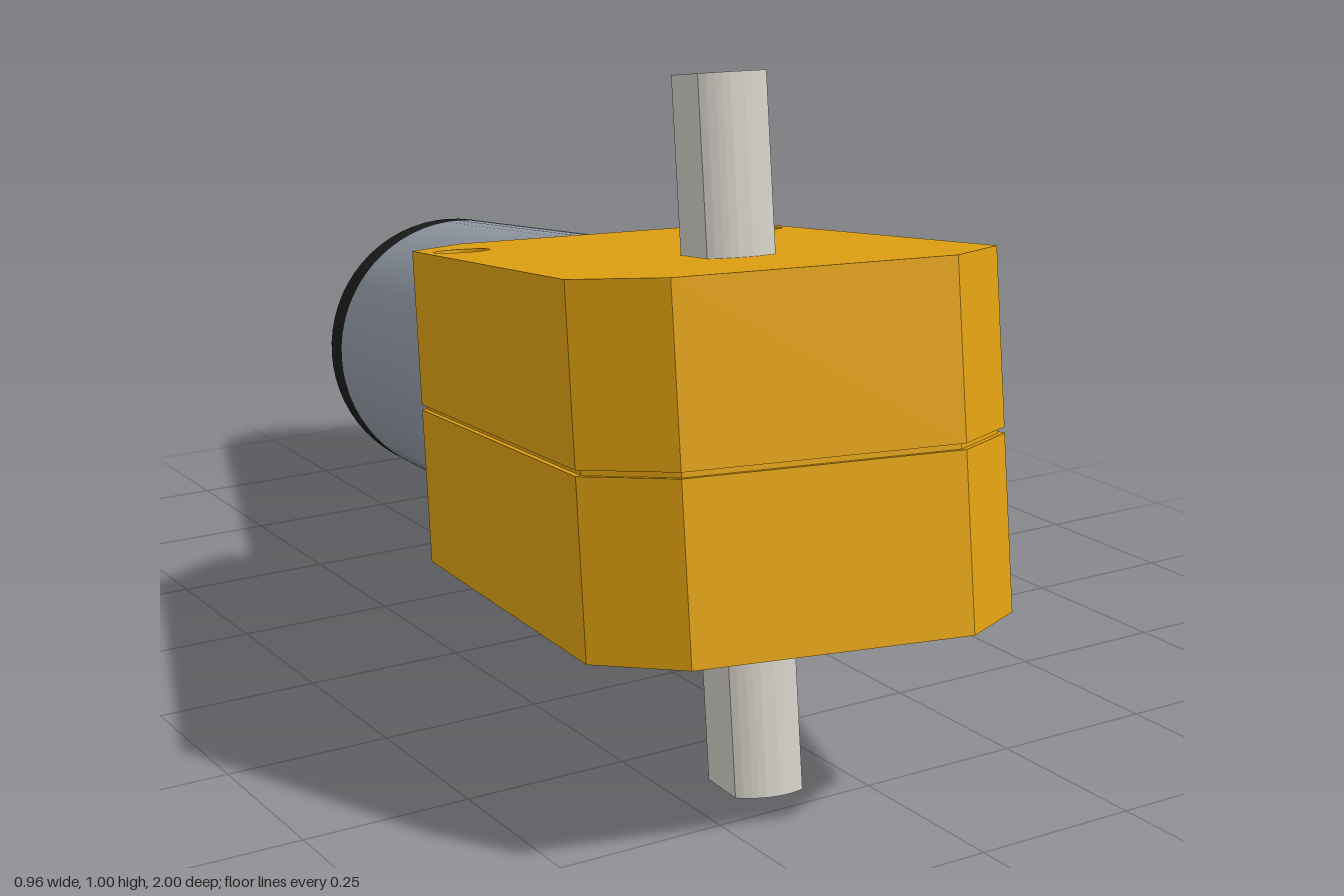
import * as THREE from 'three';
import { toCreasedNormals } from 'three/addons/utils/BufferGeometryUtils.js';

const mat = (name, color) => {
  const m = new THREE.MeshStandardMaterial({ color });
  m.name = name;
  return m;
};

// Rectangle with cut corners, centred on the origin
function chamferedShape(halfW, halfL, c) {
  const s = new THREE.Shape();
  s.moveTo(-halfW + c, -halfL);
  s.lineTo(halfW - c, -halfL);
  s.lineTo(halfW, -halfL + c);
  s.lineTo(halfW, halfL - c);
  s.lineTo(halfW - c, halfL);
  s.lineTo(-halfW + c, halfL);
  s.lineTo(-halfW, halfL - c);
  s.lineTo(-halfW, -halfL + c);
  s.closePath();
  return s;
}

// Extrudes a plan shape upward (shape y becomes -z), from y0 to y1
function extrudeUp(shape, y0, y1) {
  const g = new THREE.ExtrudeGeometry(shape, { depth: y1 - y0, bevelEnabled: false, curveSegments: 24 });
  g.rotateX(-Math.PI / 2).translate(0, y0, 0);
  return toCreasedNormals(g, 0.6);
}

export function createModel() {
  const yellow = mat('housing yellow', 0xe0a010);
  const grey = mat('motor grey', 0x929aa5);
  const black = mat('cap black', 0x1c1c1c);
  const pale = mat('shaft pale grey', 0xd0cdc4);
  const copper = mat('terminal copper', 0xb87a2c);

  const body = new THREE.Group();
  body.name = 'gearMotor';
  const add = (name, geometry, material) => {
    const m = new THREE.Mesh(geometry, material);
    m.name = name;
    body.add(m);
    return m;
  };

  // Gearbox: two halves and a recessed seam, with two through holes at the back
  const holeX = 0.24, holeZ = -0.328, height = 0.49, gap = 0.004;
  const plan = (inset) => {
    const s = chamferedShape(0.2975 - inset, 0.52 - inset, 0.105 - inset * 0.6);
    for (const side of [-1, 1]) {
      s.holes.push(new THREE.Path().absarc(side * holeX, -holeZ, 0.043, 0, Math.PI * 2, true));
    }
    return s;
  };
  add('lowerHousing', extrudeUp(plan(0), -height / 2, -gap), yellow);
  add('upperHousing', extrudeUp(plan(0), gap, height / 2), yellow);
  add('housingSeam', extrudeUp(plan(0.008), -gap, gap), yellow);

  // Output shaft: round with two flats, passing through the gearbox
  const r = 0.073, a = Math.acos(0.049 / r);
  const section = new THREE.Shape();
  section.absarc(0, 0, r, a, Math.PI - a, false);
  section.absarc(0, 0, r, Math.PI + a, Math.PI * 2 - a, false);
  section.closePath();
  const shaft = add('outputShaft', extrudeUp(section, -0.4925, 0.4925), pale);
  shaft.position.z = 0.198;

  // Motor can and rear cap along the length
  const barrel = (name, z0, z1, material) => {
    const g = new THREE.CylinderGeometry(0.245, 0.245, z1 - z0, 64);
    g.rotateX(Math.PI / 2).translate(0, 0, (z0 + z1) / 2);
    add(name, g, material);
  };
  barrel('motorCan', -1.29, -0.515, grey);
  barrel('motorCap', -1.385, -1.29, black);

  // Terminals
  for (const side of [-1, 1]) {
    const t = add(side > 0 ? 'leftTerminal' : 'rightTerminal', new THREE.BoxGeometry(0.05, 0.012, 0.08), copper);
    t.position.set(side * 0.11, 0, -1.405);
  }

  // Tilted resting pose
  const along = new THREE.Vector3(-0.237, 0.16, 0.958).normalize();
  const across = new THREE.Vector3(0.0296, 0.987, -0.158).cross(along).normalize();
  const up = new THREE.Vector3().crossVectors(along, across);
  body.quaternion.setFromRotationMatrix(new THREE.Matrix4().makeBasis(across, up, along));

  // Centre and stand on the ground
  const model = new THREE.Group();
  model.name = 'model';
  model.add(body);
  model.updateMatrixWorld(true);
  const box = new THREE.Box3().setFromObject(model, true);
  const c = box.getCenter(new THREE.Vector3());
  body.position.set(-c.x, -box.min.y, -c.z);
  return model;
}
